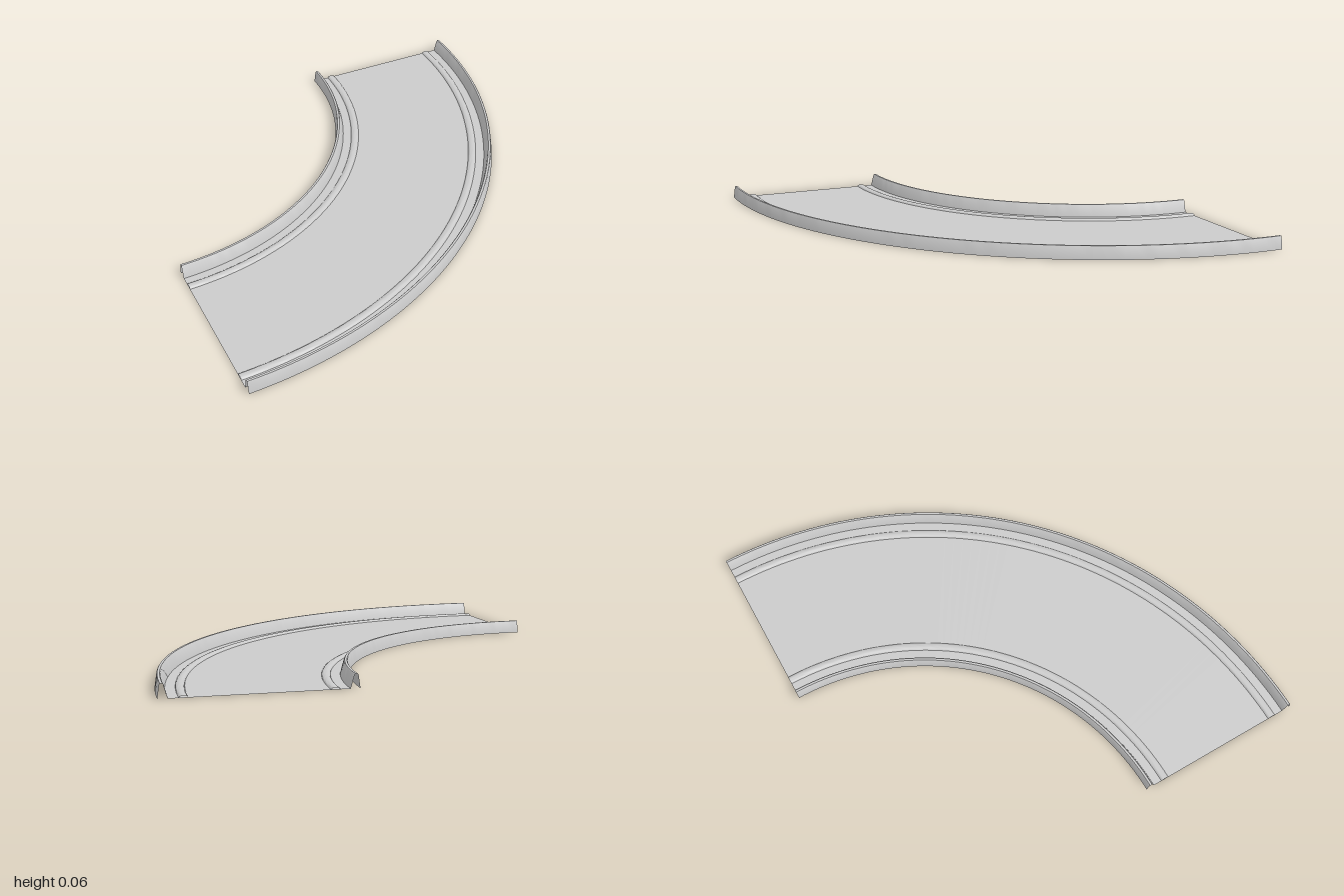
import * as THREE from 'three';
import { toCreasedNormals } from 'three/addons/utils/BufferGeometryUtils.js';

const INNER = 1.2, OUTER = 2, SEGMENTS = 64;

const material = new THREE.MeshStandardMaterial({ color: 0xcccccc, side: THREE.DoubleSide });

// Sweep a [radius, height] profile, listed from outside to inside, through a quarter turn
function sweep(name, profile) {
  const points = profile.map(([r, y]) => new THREE.Vector2(r, y));
  const lathe = new THREE.LatheGeometry(points, SEGMENTS, 0, Math.PI / 2);
  const mesh = new THREE.Mesh(toCreasedNormals(lathe, 0.7), material);
  mesh.name = name;
  return mesh;
}

// Same profile on the opposite edge of the track
const mirror = (profile) => profile.map(([r, y]) => [INNER + OUTER - r, y]).reverse();

export function createModel() {
  const group = new THREE.Group();
  group.name = 'curvedTrack';

  // Folded side wall, hollow underneath
  const wall = [
    [2, 0], [1.992, 0.055], [1.989, 0.06], [1.979, 0.06], [1.975, 0.055], [1.96, 0],
  ];

  // Low rounded rib running beside the wall
  const rib = [];
  for (let i = 0; i <= 8; i++) {
    const a = (i / 8) * Math.PI;
    rib.push([1.9 + 0.019 * Math.cos(a), 0.009 * Math.sin(a)]);
  }

  group.add(
    sweep('floor', [[1.96, 0], [1.24, 0]]),
    sweep('outerWall', wall),
    sweep('innerWall', mirror(wall)),
    sweep('outerRib', rib),
    sweep('innerRib', mirror(rib)),
  );

  // The bend's centre sits at the back right corner
  for (const part of group.children) part.position.set(-1, 0, -1);
  return group;
}
